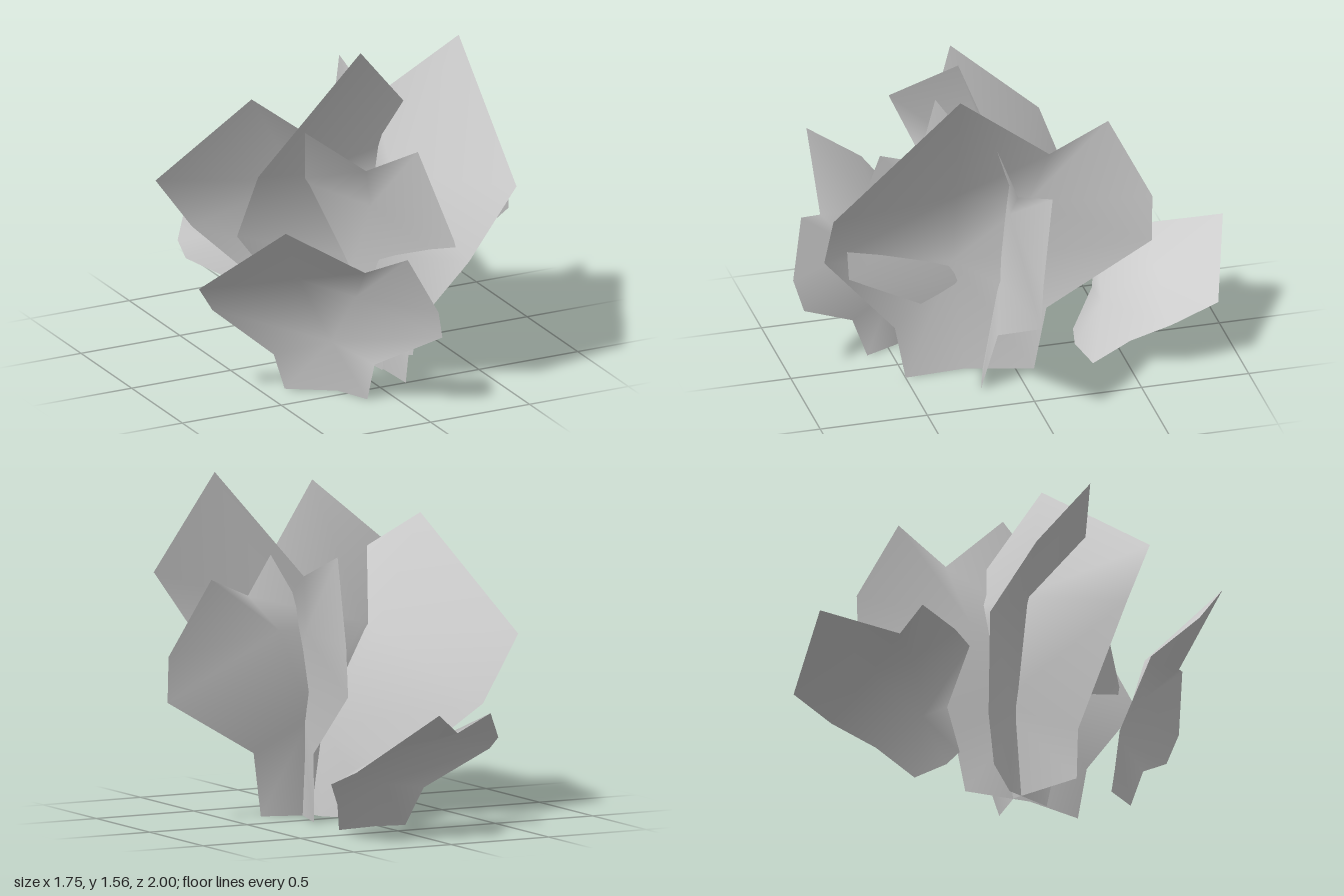
import * as THREE from 'three';

const material = new THREE.MeshStandardMaterial({ color: 0xcccccc, side: THREE.DoubleSide });

// A leaf is a hollow blade: three inner points (low, high, lobe) fanned out to its rim.
// Rim order: base, neck, lower shoulder, upper shoulder, tip,
// notch, small tip, upper lobe, lower lobe, neck, base, base middle.
function makeLeaf(name, inner, rim) {
  const geometry = new THREE.BufferGeometry();
  geometry.setAttribute('position', new THREE.Float32BufferAttribute([...inner, ...rim].flat(), 3));
  const onRim = (i) => 3 + (i % rim.length);
  const [low, high, lobe] = [0, 1, 2];
  const index = [
    low, onRim(2), high,
    high, onRim(5), lobe,
    low, high, lobe,
    low, lobe, onRim(8),
  ];
  for (let i = 0; i < rim.length; i++) {
    const hub = i < 2 || i >= 8 ? low : i < 5 ? high : lobe;
    index.push(hub, onRim(i), onRim(i + 1));
  }
  geometry.setIndex(index);
  geometry.computeVertexNormals();
  const leaf = new THREE.Mesh(geometry, material);
  leaf.name = name;
  return leaf;
}

export function createModel() {
  const plant = new THREE.Group();
  plant.name = 'leafCluster';

  // Tall leaf on the left, spreading front to back
  plant.add(makeLeaf('leftLeaf', [[0.1, 0.55, 0.27], [0.18, 0.92, 0.28], [0.22, 0.86, -0.04]], [
    [0.13, 0, 0.5], [0.13, 0.26, 0.55], [0.24, 0.7, 0.91], [0.47, 1.03, 0.93],
    [0.48, 1.56, 0.34], [0.28, 1.13, -0.13], [0.26, 1.25, -0.41], [0.32, 0.87, -0.6],
    [0.31, 0.64, -0.6], [0.23, 0.32, -0.13], [0.2, 0, -0.08], [0.115, 0, 0.22],
  ]));

  // Tall leaf facing the front
  plant.add(makeLeaf('middleLeaf', [[0.14, 0.45, 0.065], [-0.1, 0.88, 0.01], [0.3, 0.86, 0.06]], [
    [-0.21, 0, 0.24], [-0.22, 0.24, 0.24], [-0.59, 0.74, 0.24], [-0.56, 1.07, 0.39],
    [0.04, 1.51, 0.23], [0.46, 1.03, 0.065], [0.7, 1.13, -0.03], [0.87, 0.78, 0.06],
    [0.87, 0.57, 0.07], [0.39, 0.3, 0.14], [0.32, 0, 0.2], [0.13, 0, 0.14],
  ]));

  // Diagonal leaf crossing the other two
  plant.add(makeLeaf('diagonalLeaf', [[0.06, 0.4, 0.09], [-0.15, 0.85, -0.02], [0.05, 0.8, 0.31]], [
    [-0.11, 0, -0.15], [-0.15, 0.22, -0.21], [-0.47, 0.54, -0.44], [-0.7, 0.83, -0.35],
    [-0.46, 1.34, 0.13], [-0.02, 1.01, 0.4], [0.13, 1.15, 0.62], [0.22, 0.77, 0.8],
    [0.26, 0.61, 0.8], [0.1, 0.33, 0.38], [0.11, 0, 0.31], [0.08, 0, 0.08],
  ]));

  // Small leaf standing apart at the front right
  plant.add(makeLeaf('frontRightLeaf', [[-0.23, 0.25, 0.47], [-0.4, 0.58, 0.48], [-0.19, 0.51, 0.63]], [
    [-0.39, 0, 0.32], [-0.44, 0.17, 0.31], [-0.73, 0.42, 0.27], [-0.88, 0.6, 0.43],
    [-0.61, 0.93, 0.76], [-0.23, 0.69, 0.8], [-0.08, 0.77, 0.93], [0.04, 0.52, 1],
    [0.08, 0.38, 0.96], [-0.12, 0.19, 0.68], [-0.12, 0, 0.61], [-0.19, 0, 0.45],
  ]));

  // Small leaf reclining at the back
  plant.add(makeLeaf('backLeaf', [[0.04, 0.21, -0.44], [0.13, 0.4, -0.66], [-0.1, 0.4, -0.59]], [
    [0.22, 0, -0.35], [0.31, 0.14, -0.5], [0.43, 0.26, -0.66], [0.42, 0.34, -0.88],
    [0.06, 0.59, -1], [-0.18, 0.46, -0.73], [-0.35, 0.54, -0.73], [-0.45, 0.41, -0.62],
    [-0.45, 0.35, -0.54], [-0.16, 0.18, -0.45], [-0.12, 0, -0.35], [0.02, 0, -0.32],
  ]));

  return plant;
}
